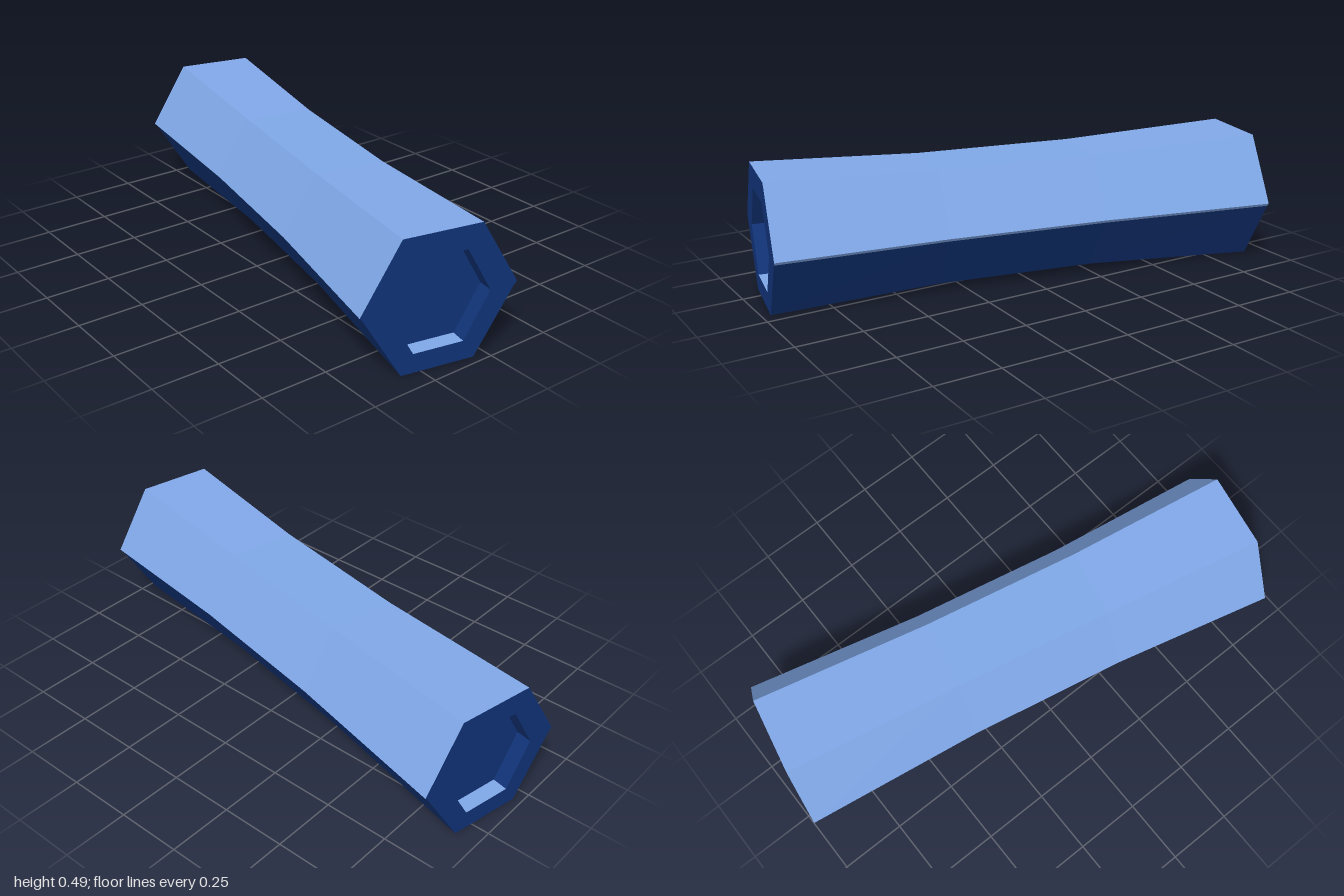
import * as THREE from 'three';

const lightBlue = new THREE.MeshStandardMaterial({ color: 0x80a8e8 });
lightBlue.name = 'light blue';
const navy = new THREE.MeshStandardMaterial({ color: 0x113378 });
navy.name = 'navy';

const HALF = 0.96;   // half the length of the grip
const DEPTH = 0.06;  // depth of the end recesses

// Flat-faced skin through cross-sections; each station is { z, points: [[x, y], ...] }
function loft(stations) {
  const pos = [];
  for (let s = 0; s < stations.length - 1; s++) {
    const a = stations[s], b = stations[s + 1];
    for (let i = 0; i < a.points.length - 1; i++) {
      const a0 = [...a.points[i], a.z], a1 = [...a.points[i + 1], a.z];
      const b0 = [...b.points[i], b.z], b1 = [...b.points[i + 1], b.z];
      pos.push(...a0, ...b0, ...b1, ...a0, ...b1, ...a1);
    }
  }
  const geo = new THREE.BufferGeometry();
  geo.setAttribute('position', new THREE.Float32BufferAttribute(pos, 3));
  geo.computeVertexNormals();
  return geo;
}

function part(name, geometry, material) {
  const mesh = new THREE.Mesh(geometry, material);
  mesh.name = name;
  return mesh;
}

// Upper half with a small overhanging lip along each side
const upper = (side, top, y, lip) => [
  [-lip, 0.236], [-side, 0.248], [-top, y], [top, y], [side, 0.248], [lip, 0.236],
];
// Lower half, from the right lip round to the left one
const lower = (side, bottom, y) => [[side, 0.236], [bottom, y], [-bottom, y], [-side, 0.236]];

const upperEnd = upper(0.292, 0.147, 0.49, 0.281), upperWaist = upper(0.262, 0.132, 0.467, 0.252);
const lowerEnd = lower(0.281, 0.138, 0), lowerWaist = lower(0.252, 0.124, 0.03);
const stations = (end, waist) => [
  { z: -HALF, points: end }, { z: -0.28, points: waist },
  { z: 0.33, points: waist }, { z: HALF, points: end },
];

// End face with a shallow hexagonal recess
function makeEnd(name) {
  const end = new THREE.Group();
  end.name = name;
  const hex = [];
  for (let i = 0; i <= 6; i++) {
    const a = i * Math.PI / 3;
    hex.push([0.189 * Math.cos(a), 0.238 + 0.193 * Math.sin(a)]);
  }
  const toVec = (p) => new THREE.Vector2(...p);
  const face = new THREE.Shape([...upperEnd, ...lowerEnd.slice(1, 3)].map(toVec));
  face.holes.push(new THREE.Path(hex.slice(0, 6).map(toVec)));
  const rim = part('endRim', new THREE.ShapeGeometry(face), navy);
  rim.position.z = HALF;
  const floor = part('recessFloor', new THREE.ShapeGeometry(new THREE.Shape(hex.slice(0, 6).map(toVec))), navy);
  floor.position.z = HALF - DEPTH;
  const wall = (points) => loft([{ z: HALF - DEPTH, points }, { z: HALF, points }]);
  end.add(rim, floor,
    part('recessWalls', wall([hex[5], ...hex.slice(0, 5)]), navy),
    part('recessLowerWall', wall(hex.slice(4, 6)), lightBlue));
  return end;
}

export function createModel() {
  const model = new THREE.Group();
  model.name = 'hexGrip';
  const body = new THREE.Group();
  body.name = 'gripBody';
  body.add(
    part('upperShell', loft(stations(upperEnd, upperWaist)), lightBlue),
    part('lowerShell', loft(stations(lowerEnd, lowerWaist)), navy));
  const back = makeEnd('backEnd');
  back.rotation.y = Math.PI;
  body.add(makeEnd('frontEnd'), back);
  // The grip lies at a slight angle to the front axis
  body.rotation.y = -0.196;
  model.add(body);
  return model;
}
